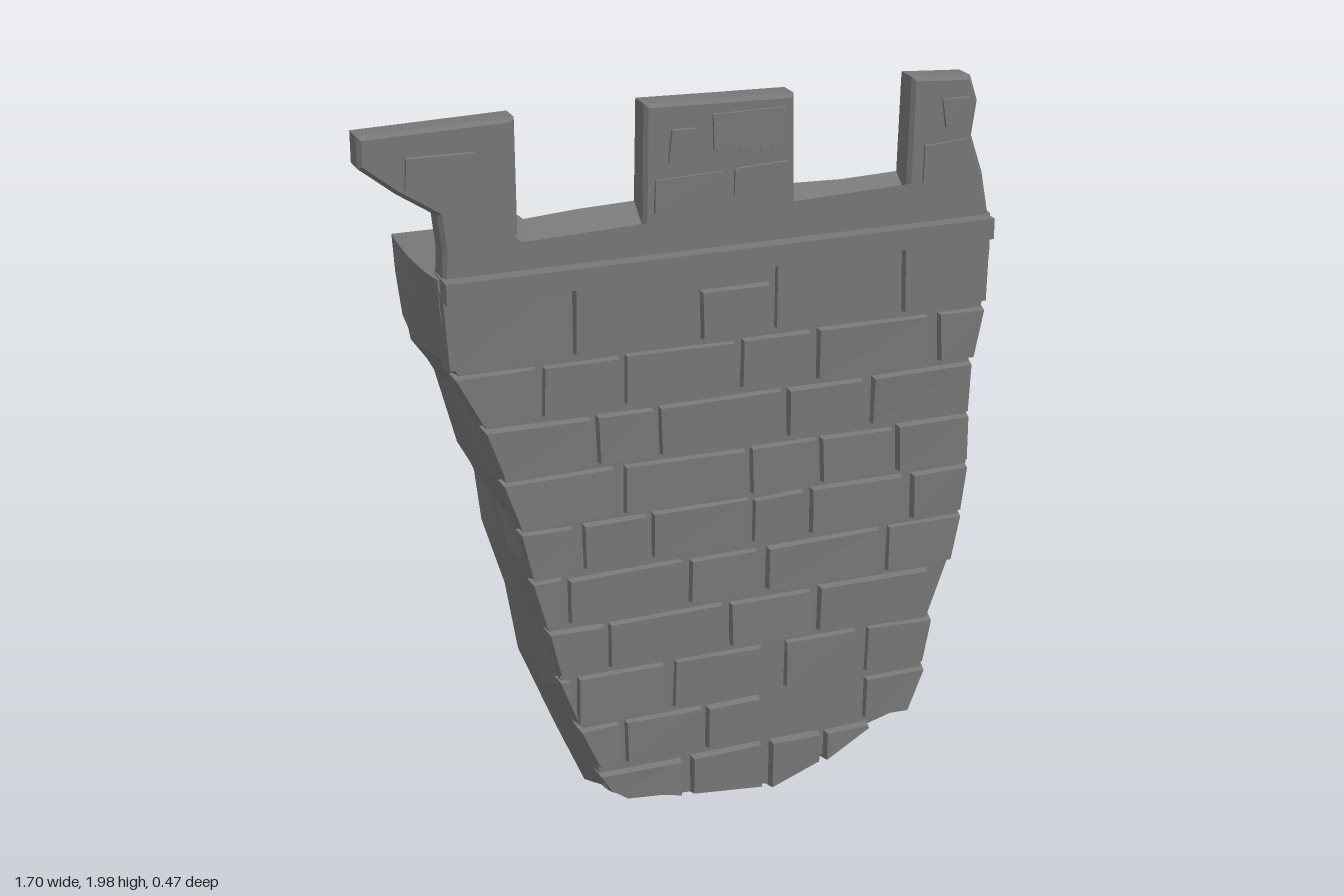
import * as THREE from 'three';
import { mergeGeometries } from 'three/addons/utils/BufferGeometryUtils.js';

const stone = new THREE.MeshStandardMaterial({ color: 0x777777, flatShading: true });
stone.name = 'grey stone';

// Wall edges: left and right sides as [y, x], underside as [x, y]
const LEFT = [[0.1, -0.26], [0.24, -0.31], [0.42, -0.385], [0.6, -0.42], [0.8, -0.47], [0.92, -0.49],
  [1.04, -0.53], [1.27, -0.6], [1.38, -0.67], [1.5, -0.68], [1.61, -0.685]];
const RIGHT = [[0.18, 0.65], [0.28, 0.695], [0.45, 0.71], [0.62, 0.77], [0.75, 0.79], [0.9, 0.805],
  [1.03, 0.8], [1.2, 0.8], [1.4, 0.84], [1.5, 0.845], [1.61, 0.84]];
const UNDER = [[-0.26, 0.1], [-0.2, 0.06], [-0.05, 0.045], [0.18, 0.03], [0.25, 0.01],
  [0.33, 0.045], [0.5, 0.14], [0.65, 0.18]];

// Brick courses: lower y, upper y, [x0, x1] spans
const COURSES = [
  [1.37, 1.585, [[-0.7, -0.34], [-0.33, 0.0], [0.21, 0.56], [0.57, 0.86]]],
  [1.37, 1.505, [[0.01, 0.2]]],
  [1.22, 1.36, [[-0.7, -0.42], [-0.41, -0.2], [-0.19, 0.11], [0.12, 0.32], [0.33, 0.65], [0.68, 0.9]]],
  [1.07, 1.21, [[-0.7, -0.28], [-0.27, -0.11], [-0.1, 0.24], [0.25, 0.47], [0.49, 0.9]]],
  [0.925, 1.06, [[-0.7, -0.22], [-0.2, 0.14], [0.15, 0.34], [0.35, 0.56], [0.57, 0.9]]],
  [0.78, 0.915, [[-0.7, -0.33], [-0.31, -0.13], [-0.12, 0.15], [0.16, 0.31], [0.32, 0.6], [0.62, 0.9]]],
  [0.635, 0.77, [[-0.7, -0.36], [-0.35, -0.03], [-0.02, 0.18], [0.2, 0.53], [0.55, 0.9]]],
  [0.485, 0.625, [[-0.7, -0.25], [-0.24, 0.08], [0.1, 0.34], [0.35, 0.68]]],
  [0.335, 0.475, [[-0.7, -0.34], [-0.33, -0.08], [-0.06, 0.2], [0.26, 0.47], [0.5, 0.9]]],
  [0.19, 0.325, [[-0.7, -0.21], [-0.2, 0.02], [0.03, 0.19], [0.5, 0.9]]],
  [0.02, 0.18, [[-0.3, -0.03], [-0.01, 0.2], [0.22, 0.37], [0.38, 0.52]]],
];

let seed = 7;
function rand(amount) {
  seed = (seed * 16807) % 2147483647;
  return (seed / 2147483647 - 0.5) * 2 * amount;
}

function lookup(table, t) {
  if (t <= table[0][0]) return table[0][1];
  for (let i = 1; i < table.length; i++) {
    const [a, va] = table[i - 1], [b, vb] = table[i];
    if (t <= b) return va + (vb - va) * (t - a) / (b - a);
  }
  return table[table.length - 1][1];
}

// Rough broken core: the outline lofted through several depths
function coreGeometry() {
  const outline = [...UNDER, ...RIGHT.slice(1), ...LEFT.slice(1).reverse()]
    .map(([a, b], i) => (i < UNDER.length ? [a, b] : [b, a]));
  const depths = [-0.208, -0.13, -0.04, 0.05, 0.13, 0.177];
  const insets = [0.012, 0.004, 0, 0.004, 0.012, 0.022];
  const n = outline.length, pos = [], index = [];
  depths.forEach((z, k) => outline.forEach(([x, y]) => {
    const top = y > 1.6, end = k === 0 || k === depths.length - 1;
    const rough = end ? 0.004 : 0.014;
    const side = y < 0.17 ? 0.4 : 1;
    const px = x - Math.sign(x - 0.1) * insets[k] * side + (top ? rand(0.004) : rand(rough));
    const py = top ? 1.612 : Math.max(0.002, y + insets[k] + rand(rough));
    pos.push(px, py, z + (end || top ? 0 : rand(0.025)));
  }));
  for (let k = 0; k < depths.length - 1; k++) {
    for (let i = 0; i < n; i++) {
      const a = k * n + i, b = k * n + (i + 1) % n;
      index.push(a, b, b + n, a, b + n, a + n);
    }
  }
  // Front and back faces
  const last = (depths.length - 1) * n;
  const flat = (k) => outline.map((_, i) => new THREE.Vector2(pos[(k + i) * 3], pos[(k + i) * 3 + 1]));
  THREE.ShapeUtils.triangulateShape(flat(last), []).forEach(([a, b, c]) => index.push(last + a, last + b, last + c));
  THREE.ShapeUtils.triangulateShape(flat(0), []).forEach(([a, b, c]) => index.push(a, c, b));
  const g = new THREE.BufferGeometry();
  g.setAttribute('position', new THREE.Float32BufferAttribute(pos, 3));
  g.setIndex(index);
  g.computeVertexNormals();
  return g;
}

// Chamfered block; place() moves every corner, side is +1 for front and -1 for back
function brick(x0, x1, y0, y1, base, raise, side, bevel, wobble, place = (x, y) => [x, y]) {
  const g = new THREE.BoxGeometry(1, 1, 1), p = g.attributes.position;
  const jitter = Array.from({ length: 4 }, () => [rand(wobble), rand(wobble)]);
  const lift = Array.from({ length: 4 }, () => raise + rand(raise * 0.2));
  for (let i = 0; i < p.count; i++) {
    const sx = Math.sign(p.getX(i)), sy = Math.sign(p.getY(i)), outer = p.getZ(i) * side > 0;
    const c = (sx > 0 ? 1 : 0) + (sy > 0 ? 2 : 0), inset = outer ? bevel : 0;
    const [x, y] = place(sx > 0 ? x1 : x0, sy > 0 ? y1 : y0);
    p.setXYZ(i, x - sx * inset + jitter[c][0], y - sy * inset + jitter[c][1],
      base + side * (outer ? lift[c] : -0.02));
  }
  g.computeVertexNormals();
  return g;
}

// Keep a brick corner within the wall edges
function clampToWall(x, y) {
  const cx = Math.min(Math.max(x, lookup(LEFT, y) + 0.014), lookup(RIGHT, y) - 0.018);
  return [cx, Math.max(y, lookup(UNDER, cx) + 0.018)];
}

function bricksGeometry(side) {
  const base = side > 0 ? 0.177 : -0.208, parts = [];
  for (const [y0, y1, spans] of COURSES) {
    for (const [x0, x1] of spans) {
      const raise = 0.014 + Math.abs(rand(0.008));
      parts.push(brick(x0, x1, y0, y1, base, raise, side, 0.007, 0.004, clampToWall));
    }
  }
  return mergeGeometries(parts);
}

// Broken battlement, with the floors of its gaps sloping to the front
function parapetGeometry() {
  const pts = [[-0.655, 1.57], [0.805, 1.57], [0.805, 1.63], [0.785, 1.73], [0.75, 1.83], [0.762, 1.92],
    [0.74, 1.985], [0.58, 1.995], [0.575, 1.735], [0.42, 1.73], [0.26, 1.735], [0.255, 1.985], [0.05, 1.99],
    [-0.135, 1.995], [-0.14, 1.735], [-0.29, 1.73], [-0.43, 1.72], [-0.465, 1.75], [-0.467, 1.995],
    [-0.848, 1.985], [-0.848, 1.91], [-0.76, 1.84], [-0.66, 1.775], [-0.65, 1.68]];
  const shape = new THREE.Shape(pts.map(([x, y]) => new THREE.Vector2(x, y)));
  const g = new THREE.ExtrudeGeometry(shape, {
    depth: 0.058, bevelEnabled: true, bevelThickness: 0.01, bevelSize: 0.01, bevelOffset: -0.008, bevelSegments: 1,
  });
  g.translate(0, 0, 0.124);
  const p = g.attributes.position;
  for (let i = 0; i < p.count; i++) {
    const x = p.getX(i), y = p.getY(i);
    if (p.getZ(i) > 0.15 && y > 1.69 && y < 1.77 && x > -0.5 && x < 0.6) p.setY(i, y - 0.045);
  }
  g.computeVertexNormals();
  return g;
}

function parapetBricksGeometry() {
  const spans = [[-0.75, -0.56, 1.84, 1.93], [-0.08, 0.01, 1.84, 1.93], [0.09, 0.245, 1.74, 1.825],
    [-0.12, 0.07, 1.71, 1.815], [0.03, 0.24, 1.85, 1.965], [0.61, 0.735, 1.71, 1.83], [0.66, 0.745, 1.85, 1.94]];
  return mergeGeometries(spans.flatMap(([x0, x1, y0, y1]) => [
    brick(x0, x1, y0, y1, 0.191, 0.006, 1, 0.008, 0.006),
    brick(x0, x1, y0, y1, 0.115, 0.006, -1, 0.008, 0.006),
  ]));
}

export function createModel() {
  const model = new THREE.Group();
  model.name = 'ruinedWall';
  const add = (name, geometry) => {
    const mesh = new THREE.Mesh(geometry, stone);
    mesh.name = name;
    model.add(mesh);
    return mesh;
  };
  add('wallCore', coreGeometry());
  add('frontBricks', bricksGeometry(1));
  add('backBricks', bricksGeometry(-1));
  add('parapet', parapetGeometry());
  add('parapetBricks', parapetBricksGeometry());
  // Moulding along the front of the parapet
  add('ledge', new THREE.BoxGeometry(1.465, 0.055, 0.1)).position.set(0.073, 1.588, 0.183);
  return model;
}
